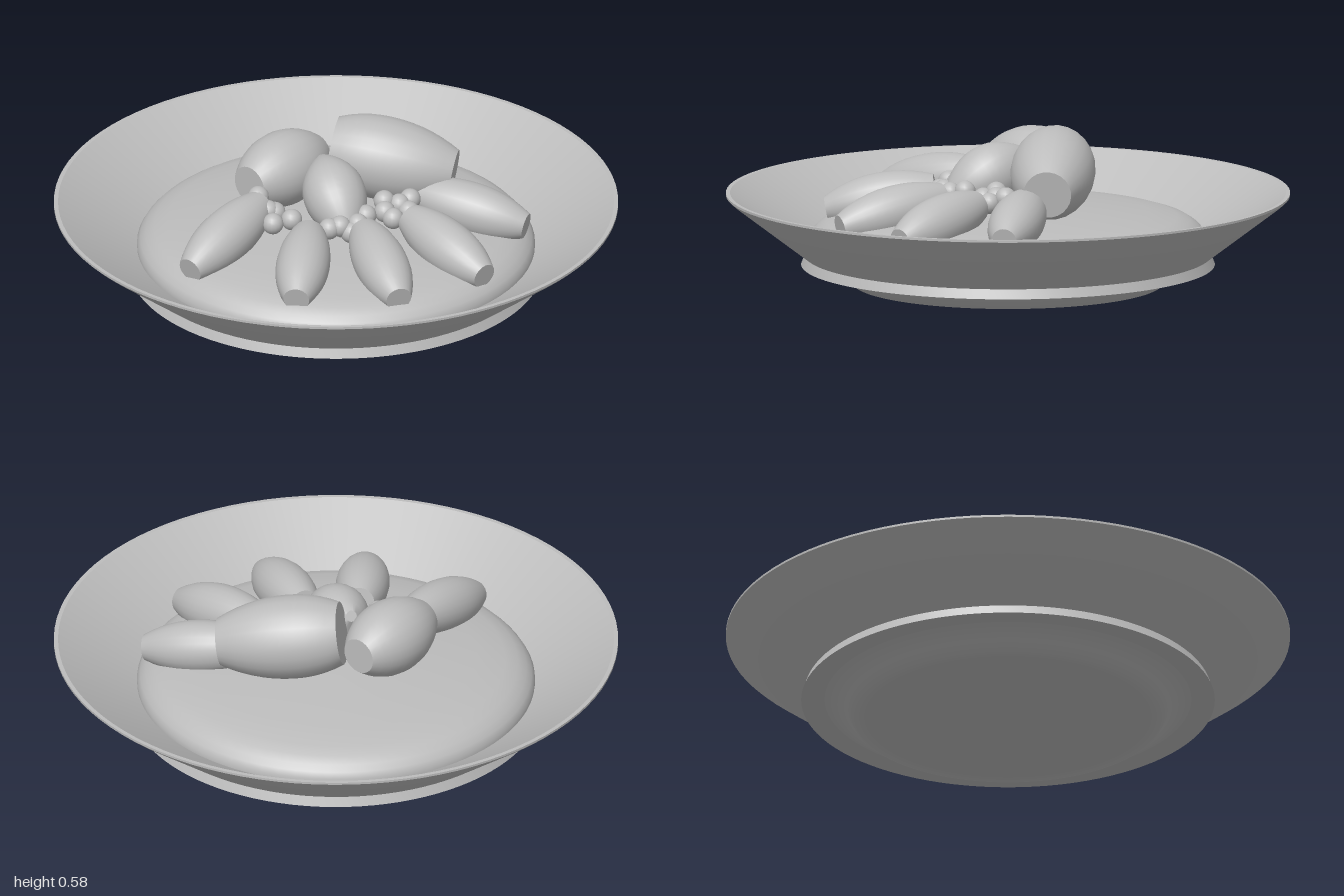
import * as THREE from 'three';
import { toCreasedNormals } from 'three/addons/utils/BufferGeometryUtils.js';

const clay = new THREE.MeshStandardMaterial({ color: 0xbcbcbc });
clay.name = 'plain grey';

// Lathe with smooth curves and sharp corners
function lathe(points, segments, crease = 0.6) {
  const geo = new THREE.LatheGeometry(points.map(([r, y]) => new THREE.Vector2(r, y)), segments);
  return toCreasedNormals(geo, crease);
}

function add(group, name, geo) {
  const mesh = new THREE.Mesh(geo, clay);
  mesh.name = name;
  group.add(mesh);
  return mesh;
}

// Barrel-shaped piece with blunt ends, from point a to point b, widest at fraction peak
function barrel(group, name, a, b, r, ra, rb, peak = 0.5) {
  const start = new THREE.Vector3(...a), end = new THREE.Vector3(...b);
  const dir = end.clone().sub(start), len = dir.length();
  const pts = [[0, 0]];
  const n = 12;
  for (let i = 0; i <= n; i++) {
    const t = i / n;
    const tip = t < peak ? ra : rb;
    const k = t < peak ? 1 - t / peak : (t - peak) / (1 - peak);
    pts.push([tip + (r - tip) * (1 - k ** 2.1), t * len]);
  }
  pts.push([0, len]);
  const mesh = add(group, name, lathe(pts, 24));
  mesh.position.copy(start);
  mesh.quaternion.setFromUnitVectors(new THREE.Vector3(0, 1, 0), dir.normalize());
  return mesh;
}

export function createModel() {
  const model = new THREE.Group();
  model.name = 'plateOfFood';

  // Foot, softly blended into the underside
  add(model, 'foot', lathe([[0, 0], [0.5, 0], [0.55, 0], [0.57, 0.035], [0.65, 0.068]], 96, 1.4));

  // Ledge ring and wide sloping rim
  add(model, 'plate', lathe([
    [0.65, 0.068], [0.733, 0.066], [0.72, 0.1],
    [0.985, 0.302], [1, 0.316], [1, 0.324], [0.985, 0.324], [0.7, 0.145], [0, 0.13],
  ], 96, 0.5));

  // Rounded mound filling the bowl
  add(model, 'mound', lathe([
    [0.705, 0.145], [0.705, 0.165], [0.694, 0.185], [0.675, 0.205], [0.645, 0.224],
    [0.6, 0.238], [0.5, 0.253], [0.35, 0.267], [0.18, 0.279], [0, 0.288],
  ], 72, 1.2));

  // Fan of five slim pieces
  const fan = new THREE.Group();
  fan.name = 'fan';
  model.add(fan);
  [
    [[-0.28, 0.355, 0.015], [-0.605, 0.255, 0.26]],
    [[-0.155, 0.325, 0.215], [-0.3, 0.25, 0.575]],
    [[0.035, 0.325, 0.255], [0.055, 0.245, 0.655]],
    [[0.22, 0.325, 0.2], [0.395, 0.245, 0.555]],
    [[0.3, 0.335, 0.03], [0.63, 0.265, 0.25]],
  ].forEach(([a, b], i) => barrel(fan, 'slimPiece' + (i + 1), a, b, 0.095, 0.055, 0.046));

  // Two large pieces at the back and the small upright bud between them
  barrel(model, 'largePieceRight', [-0.3, 0.395, -0.065], [0.0, 0.4, -0.26], 0.133, 0.07, 0.065);
  barrel(model, 'largePieceLeft', [0.035, 0.452, -0.172], [0.43, 0.385, 0.012], 0.15, 0.112, 0.085, 0.4);
  barrel(model, 'bud', [-0.03, 0.46, -0.085], [-0.015, 0.31, 0.21], 0.112, 0.02, 0.04);

  // Clusters of small berries
  const berries = new THREE.Group();
  berries.name = 'berries';
  model.add(berries);
  const ball = new THREE.SphereGeometry(0.038, 16, 12);
  [
    [-0.285, 0.38, 0.0], [-0.265, 0.35, 0.06], [-0.24, 0.34, 0.06], [-0.265, 0.33, 0.125],
    [-0.195, 0.335, 0.12], [-0.085, 0.335, 0.225], [-0.045, 0.34, 0.225], [-0.01, 0.32, 0.245],
    [0.02, 0.34, 0.225], [0.06, 0.35, 0.185], [0.15, 0.355, 0.1], [0.14, 0.335, 0.145],
    [0.2, 0.345, 0.12], [0.225, 0.33, 0.155], [0.16, 0.325, 0.185], [0.245, 0.35, 0.1],
  ].forEach((p) => add(berries, 'berry', ball).position.set(...p));

  return model;
}
